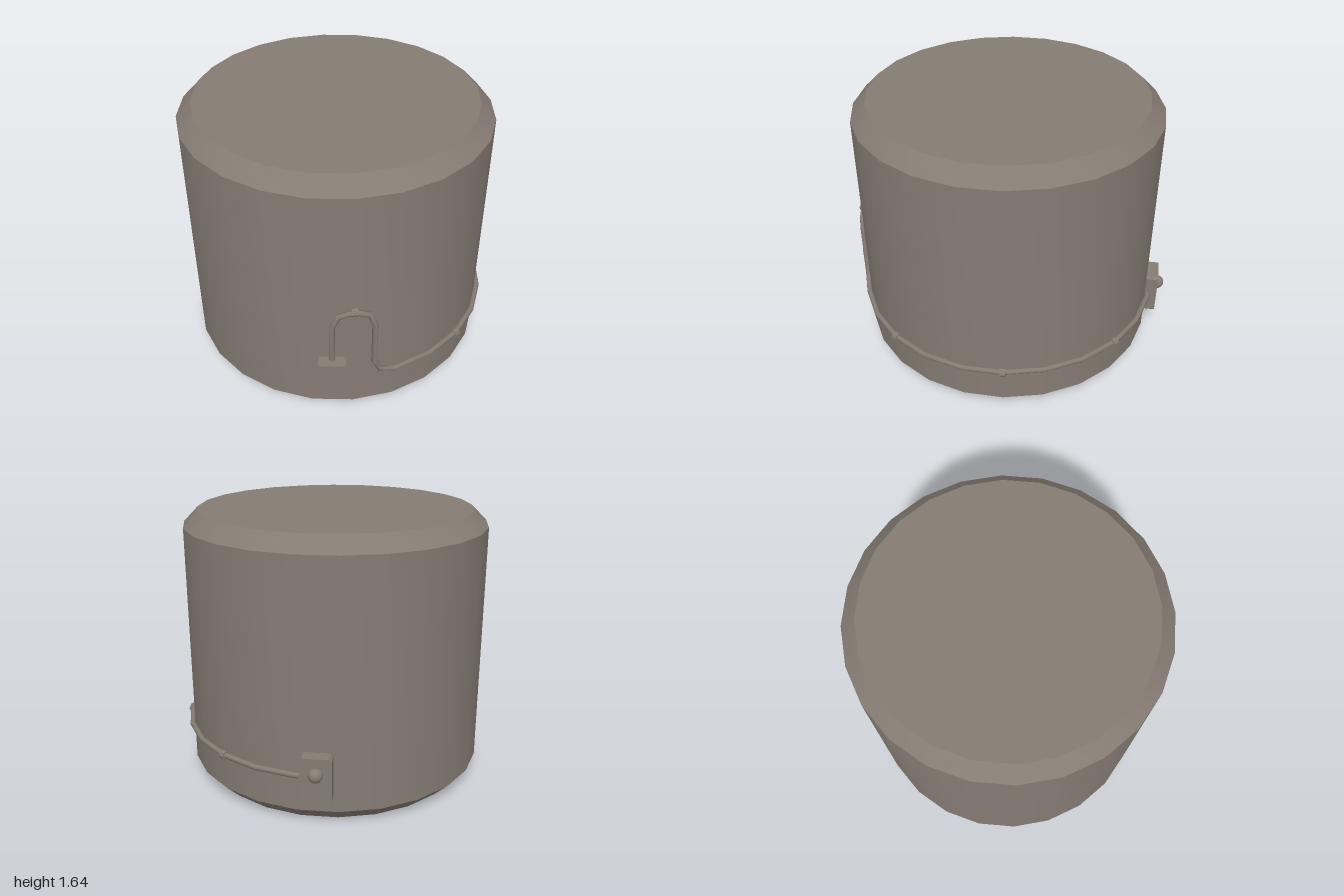
import * as THREE from 'three';
import { toCreasedNormals } from 'three/addons/utils/BufferGeometryUtils.js';

const CX = -0.022, CZ = 0.014;   // axis of the drum
const CABLE_R = 0.928;           // distance of the cable from that axis

// Point around the drum: angle in degrees from the front towards +x
function around(deg, y, r = CABLE_R) {
  const a = THREE.MathUtils.degToRad(deg);
  return new THREE.Vector3(CX + r * Math.sin(a), y, CZ + r * Math.cos(a));
}

// Straight-segment path with mitred corners
class Polyline extends THREE.Curve {
  constructor(points) { super(); this.points = points; }
  getPoint(t, target = new THREE.Vector3()) {
    const n = this.points.length - 1;
    const i = Math.min(Math.floor(t * n + 1e-6), n - 1);
    return target.lerpVectors(this.points[i], this.points[i + 1], t * n - i);
  }
  getPointAt(u, target) { return this.getPoint(u, target); }
  getTangentAt(u, target = new THREE.Vector3()) {
    const p = this.points, n = p.length - 1, i = Math.round(u * n);
    target.set(0, 0, 0);
    if (i > 0) target.add(p[i].clone().sub(p[i - 1]).normalize());
    if (i < n) target.add(p[i + 1].clone().sub(p[i]).normalize());
    return target.normalize();
  }
}

// Flat box with clipped corners, back at z = 0
function boxGeometry(w, h, d, c) {
  const x = w / 2, y = h / 2;
  const shape = new THREE.Shape([
    [-x + c, -y], [x - c, -y], [x, -y + c], [x, y - c],
    [x - c, y], [-x + c, y], [-x, y - c], [-x, -y + c],
  ].map(([a, b]) => new THREE.Vector2(a, b)));
  return new THREE.ExtrudeGeometry(shape, { depth: d, bevelEnabled: false });
}

export function createModel() {
  const model = new THREE.Group();
  model.name = 'drumWithCable';
  const metal = new THREE.MeshStandardMaterial({ color: 0x857c73 });
  metal.name = 'warm grey';

  const add = (name, geometry, position, deg = 0) => {
    const mesh = new THREE.Mesh(geometry, metal);
    mesh.name = name;
    mesh.position.copy(position);
    mesh.rotation.y = THREE.MathUtils.degToRad(deg);
    model.add(mesh);
    return mesh;
  };

  // Drum with chamfered rims
  const profile = [[0, 0], [0.824, 0], [0.913, 0.09], [0.913, 1.55], [0.824, 1.64], [0, 1.64]]
    .map(([r, y]) => new THREE.Vector2(r, y));
  add('drum', toCreasedNormals(new THREE.LatheGeometry(profile, 24), 0.5), around(0, 0, 0));

  // Junction boxes at both ends of the cable
  const box = boxGeometry(0.18, 0.272, 0.09, 0.014);
  add('frontBox', box, around(-7.5, 0.317, 0.89), -7.5);
  add('backBox', box, around(172.5, 0.317, 0.89), 172.5);
  add('backKnob', new THREE.SphereGeometry(0.042, 16, 12), around(172.5, 0.355, 0.98));

  // Cable: up and over from the front box, then round the side to the back
  const path = [
    [-7.5, 0.42], [-7.5, 0.705], [-5.2, 0.785], [0, 0.815], [5.2, 0.785],
    [7.3, 0.705], [7.3, 0.42], [9.5, 0.345], [15, 0.318],
  ];
  for (let deg = 30; deg <= 165; deg += 15) path.push([deg, 0.317]);
  path.push([170, 0.317]);
  const curve = new Polyline(path.map(([deg, y]) => around(deg, y)));
  add('cable', new THREE.TubeGeometry(curve, path.length - 1, 0.017, 8), new THREE.Vector3());

  // Clips holding the cable
  const clip = toCreasedNormals(new THREE.CylinderGeometry(0.026, 0.026, 0.036, 8).rotateZ(Math.PI / 2), 0.5);
  for (const [deg, y] of [[0, 0.815], [45, 0.317], [90, 0.317], [135, 0.317]]) {
    add('clip', clip, around(deg, y), deg);
  }
  return model;
}
